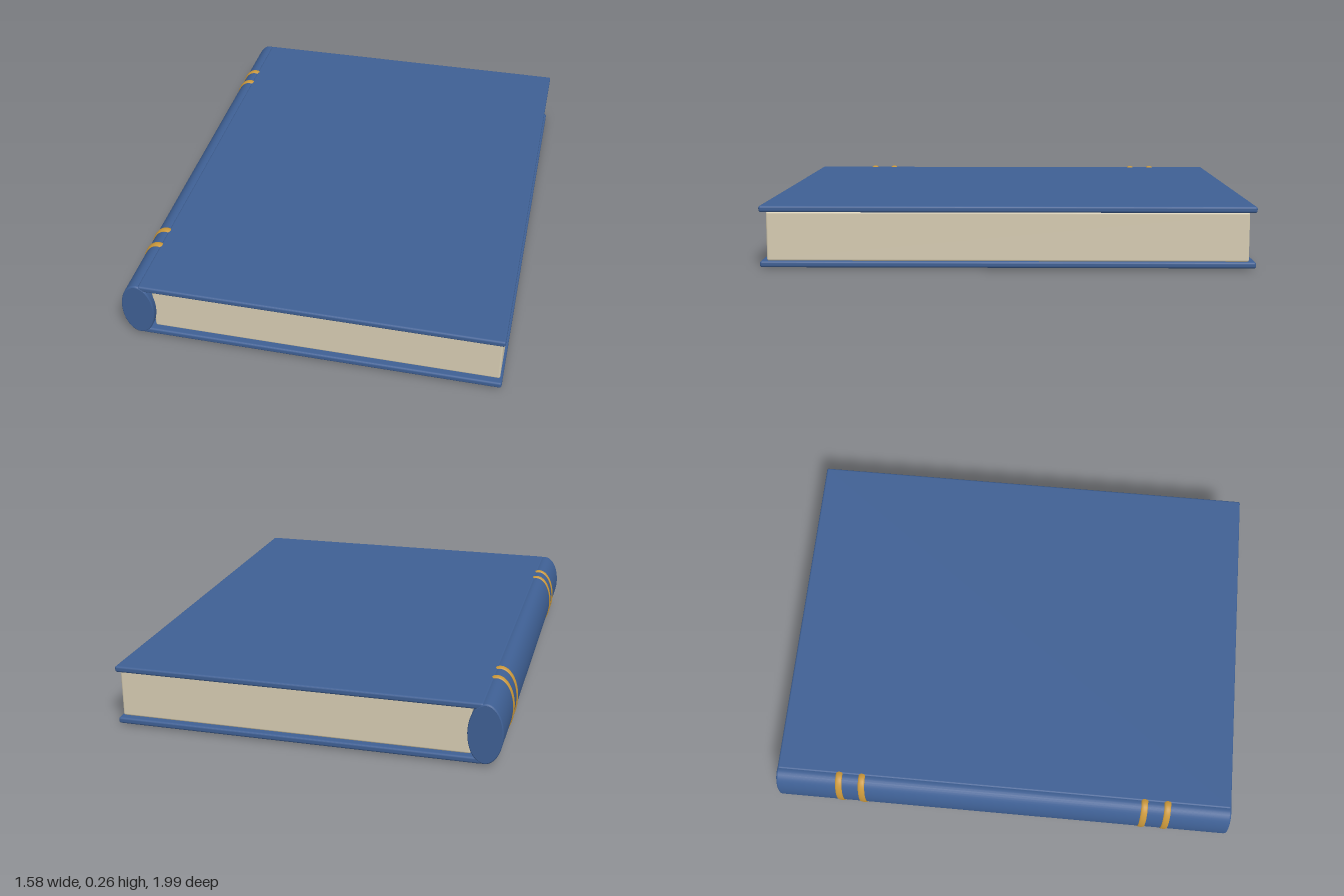
import * as THREE from 'three';
import { RoundedBoxGeometry } from 'three/addons/geometries/RoundedBoxGeometry.js';

const cloth = new THREE.MeshStandardMaterial({ name: 'blue cloth', color: 0x3e5f93 });
const paper = new THREE.MeshStandardMaterial({ name: 'cream paper', color: 0xd6ccb2 });
const gold = new THREE.MeshStandardMaterial({ name: 'gold', color: 0xc8963a });

const MID = 0.13;       // mid height of the book
const SPINE_X = -0.717; // spine axis
const RX = 0.069, RY = 0.124; // spine half width and half height

export function createModel() {
  const book = new THREE.Group();
  book.name = 'book';

  const add = (name, geometry, material, x, y, z) => {
    const mesh = new THREE.Mesh(geometry, material);
    mesh.name = name;
    mesh.position.set(x, y, z);
    book.add(mesh);
    return mesh;
  };

  // Cover boards
  const board = new RoundedBoxGeometry(1.492, 0.026, 1.99, 3, 0.009);
  add('topCover', board, cloth, 0.039, MID + 0.112, 0);
  add('bottomCover', board, cloth, 0.039, MID - 0.112, 0);

  // Page block
  add('pages', new RoundedBoxGeometry(1.435, 0.2, 1.935, 3, 0.008), paper, 0.0575, MID, 0);

  // Spine: a cylinder with slightly eased ends, squashed to an ellipse
  const profile = [[0, -1], [0.95, -1], [0.95, -1], [0.985, -0.998], [1, -0.993], [1, -0.993],
    [1, 0.993], [1, 0.993], [0.985, 0.998], [0.95, 1], [0.95, 1], [0, 1]]
    .map(([r, h]) => new THREE.Vector2(r, h * 0.996));
  const spine = new THREE.LatheGeometry(profile, 48);
  spine.rotateX(Math.PI / 2).scale(RX, RY, 1);
  add('spine', spine, cloth, SPINE_X, MID, 0);

  // Raised bands, two near each end of the spine
  const band = new THREE.TorusGeometry(1, 0.05, 10, 56).scale(RX + 0.001, RY, 0.3);
  for (const side of [-1, 1]) {
    for (const z of [0.62, 0.72]) add('spineBand', band, gold, SPINE_X, MID, side * z);
  }
  return book;
}
